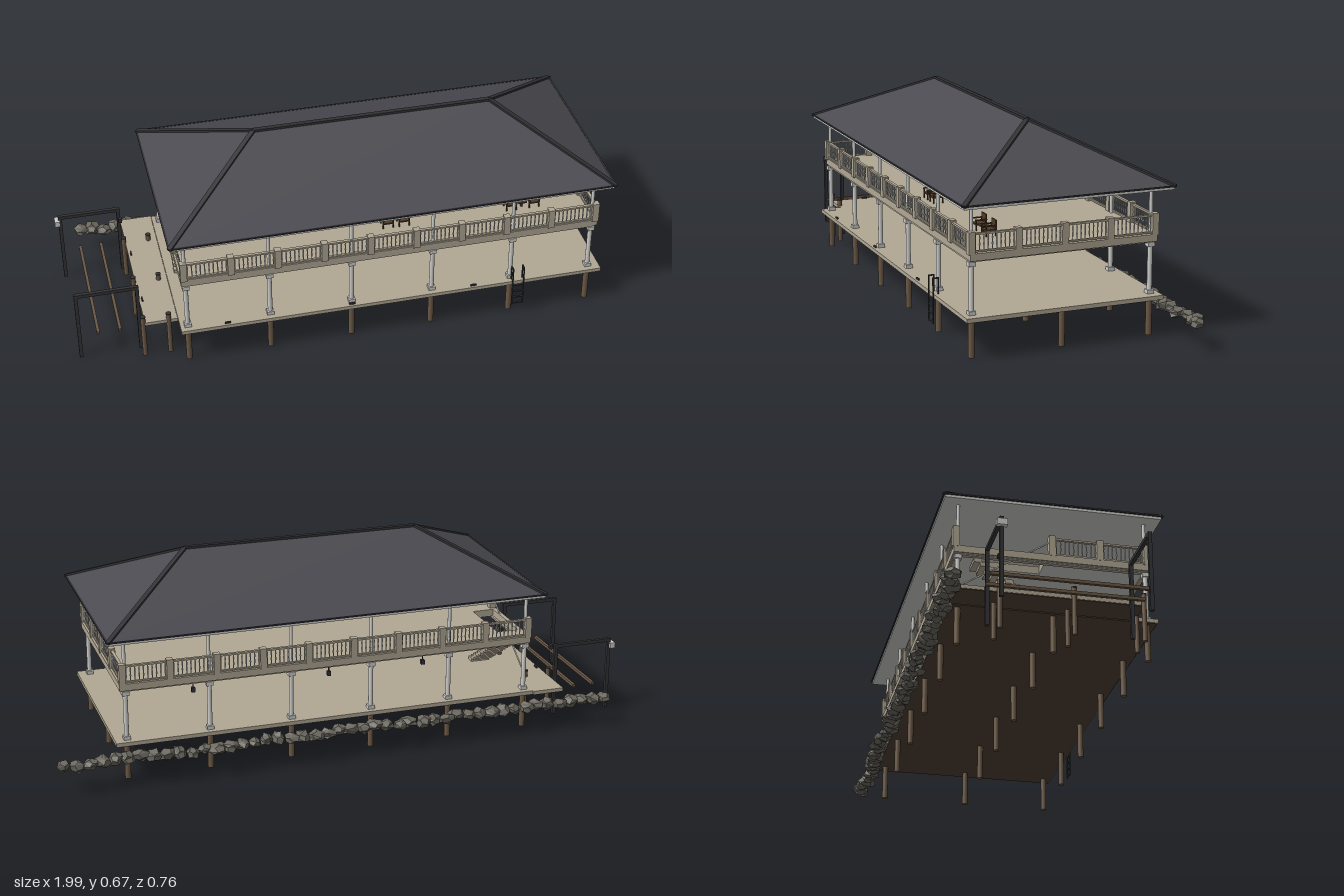
import * as THREE from 'three';
import { mergeGeometries } from 'three/addons/utils/BufferGeometryUtils.js';

const mat = (name, color, extra = {}) => {
  const m = new THREE.MeshStandardMaterial({ color, ...extra });
  m.name = name;
  return m;
};

// Box given by its limits on each axis
function box(x0, x1, y0, y1, z0, z1) {
  return new THREE.BoxGeometry(x1 - x0, y1 - y0, z1 - z0)
    .translate((x0 + x1) / 2, (y0 + y1) / 2, (z0 + z1) / 2);
}
const block = (x, y, z, w, h, d) => new THREE.BoxGeometry(w, h, d).translate(x, y, z);
const post = (x, z, y0, y1, r, sides = 12) =>
  new THREE.CylinderGeometry(r, r, y1 - y0, sides).translate(x, (y0 + y1) / 2, z);

// Straight bar between two points
function bar(a, b, w, h) {
  const A = new THREE.Vector3(...a), B = new THREE.Vector3(...b);
  const m = new THREE.Matrix4().lookAt(A, B, new THREE.Vector3(0, 1, 0));
  m.setPosition(A.clone().add(B).multiplyScalar(0.5));
  return new THREE.BoxGeometry(w, h, A.distanceTo(B)).applyMatrix4(m);
}

// Horizontal slab with optional rectangular hole [x0, x1, z0, z1]
function slab(x0, x1, y0, y1, z0, z1, hole) {
  const rect = (P, a, b, c, d) => new P([[a, c], [b, c], [b, d], [a, d]].map(p => new THREE.Vector2(...p)));
  const s = rect(THREE.Shape, x0, x1, -z1, -z0);
  if (hole) s.holes.push(rect(THREE.Path, hole[0], hole[1], -hole[3], -hole[2]));
  return new THREE.ExtrudeGeometry(s, { depth: y1 - y0, bevelEnabled: false })
    .rotateX(-Math.PI / 2).translate(0, y0, 0);
}

export function createModel() {
  const model = new THREE.Group();
  model.name = 'boathouse';
  const roofMat = mat('charcoal roofing', 0x4b4a50, { flatShading: true });
  const capMat = mat('dark roof cap', 0x323135);
  const white = mat('white paint', 0xcfcfcc);
  const beige = mat('beige decking', 0xb1a794);
  const brown = mat('piling wood', 0x6b5845);
  const under = mat('dark underside', 0x4e4034);
  const dark = mat('dark metal', 0x343437);
  const chairMat = mat('chair wood', 0x503a28);
  const rockMat = mat('rock', 0x6b685f, { flatShading: true });

  const add = (name, material, geos) => {
    const mesh = new THREE.Mesh(mergeGeometries(geos), material);
    mesh.name = name;
    model.add(mesh);
  };

  const colX = Array.from({ length: 6 }, (_, i) => -0.63 + i * 0.276);
  const colZ = [0.325, -0.275];
  const midZ = 0.025;

  // Pilings and lower deck
  add('pilings', brown, colX.flatMap(x => [...colZ, midZ].map(z => post(x, z, 0, 0.123, 0.01))));
  add('lowerDeck', beige, [box(-0.655, 0.79, 0.123, 0.136, -0.305, 0.355)]);
  add('lowerDeckUnderside', under, [box(-0.652, 0.787, 0.121, 0.1235, -0.302, 0.352)]);

  // Columns with square bases and capitals
  const cols = [];
  for (const x of colX) for (const z of colZ) {
    cols.push(post(x, z, 0.136, 0.302, 0.008), post(x, z, 0.33, 0.48, 0.006));
    cols.push(block(x, 0.142, z, 0.023, 0.012, 0.023), block(x, 0.295, z, 0.023, 0.014, 0.023));
  }
  add('columns', white, cols);

  // Upper deck with an opening over the stair
  const hole = [-0.63, -0.555, -0.215, 0.0];
  add('upperDeck', beige, [slab(-0.645, 0.77, 0.307, 0.33, -0.29, 0.335, hole)]);
  add('upperDeckCeiling', white, [slab(-0.64, 0.762, 0.305, 0.3075, -0.285, 0.33, hole)]);
  add('deckBeams', beige, [
    ...colZ.map(z => box(-0.637, 0.757, 0.301, 0.307, z - 0.007, z + 0.007)),
    ...[-0.63, 0.75].map(x => box(x - 0.007, x + 0.007, 0.301, 0.307, -0.275, 0.325)),
  ]);

  // Railings: bays between square posts, with turned spindles
  const spindle = new THREE.LatheGeometry([[0.0016, 0.337], [0.0016, 0.347], [0.0028, 0.355], [0.0017, 0.365],
    [0.0026, 0.374], [0.0016, 0.387]].map(p => new THREE.Vector2(...p)), 6);
  const rails = [], railPosts = new Map(), spindles = [];
  function railing(ax, az, bx, bz, bays) {
    for (let i = 0; i <= bays; i++) {
      const t = i / bays, x = ax + (bx - ax) * t, z = az + (bz - az) * t;
      railPosts.set(x.toFixed(3) + z.toFixed(3), block(x, 0.362, z, 0.022, 0.07, 0.022));
    }
    rails.push(bar([ax, 0.389, az], [bx, 0.389, bz], 0.01, 0.006), bar([ax, 0.335, az], [bx, 0.335, bz], 0.008, 0.005));
    const n = bays * 11;
    for (let i = 0; i < n; i++) if (i % 11) {
      const t = i / n;
      spindles.push(spindle.clone().translate(ax + (bx - ax) * t, 0, az + (bz - az) * t));
    }
  }
  railing(-0.635, 0.33, 0.76, 0.33, 9);
  railing(-0.635, -0.283, 0.76, -0.283, 9);
  railing(0.76, 0.33, 0.76, -0.283, 4);
  railing(-0.635, 0.33, -0.635, 0.0235, 2);
  add('railings', beige, rails);
  add('railingPosts', beige, [...railPosts.values()]);
  add('railingSpindles', white, spindles);

  // Stair at the right end, with its sloping rail
  const steps = [];
  for (let i = 0; i < 13; i++) {
    const z = 0.028 - i * 0.0198, y = 0.143 + i * 0.0126;
    steps.push(box(-0.628, -0.56, y - 0.007, y + 0.006, z - 0.014, z + 0.012));
  }
  add('stair', beige, steps);
  add('stairRail', white, [bar([-0.632, 0.38, 0.02], [-0.632, 0.2, -0.265], 0.004, 0.004)]);

  // Hip roof
  const E = { x0: -0.68, x1: 0.81, z0: -0.328, z1: 0.373, y: 0.488 };
  const A = [E.x0, E.y, E.z1], B = [E.x1, E.y, E.z1], C = [E.x1, E.y, E.z0], D = [E.x0, E.y, E.z0];
  const P = [-0.335, 0.661, 0.0225], Q = [0.47, 0.661, 0.0225];
  const roof = new THREE.BufferGeometry();
  roof.setAttribute('position', new THREE.Float32BufferAttribute(
    [A, B, Q, A, Q, P, C, D, P, C, P, Q, B, C, Q, D, A, P].flat(), 3));
  roof.computeVertexNormals();
  add('roof', roofMat, [roof]);
  add('roofCaps', capMat, [[A, P], [D, P], [B, Q], [C, Q], [P, Q]].map(([a, b]) => bar(a, b, 0.016, 0.008)));
  add('roofEdge', capMat, [[A, B], [B, C], [C, D], [D, A]].map(([a, b]) => bar(a, b, 0.006, 0.005)));
  add('fasciaAndSoffit', white, [box(E.x0 + 0.002, E.x1 - 0.002, 0.477, 0.486, E.z0 + 0.002, E.z1 - 0.002)]);

  // Side dock with its pilings and cleats
  add('sideDock', beige, [box(-0.765, -0.656, 0.123, 0.135, -0.31, 0.28)]);
  add('sideDockUnderside', under, [box(-0.763, -0.658, 0.121, 0.1235, -0.308, 0.278)]);
  const dockPosts = [-0.77, -0.685].flatMap(x => [0.275, 0.057, -0.173].map(z => [x, z]));
  add('dockPilings', brown, dockPosts.map(([x, z]) => post(x, z, 0, 0.155, 0.008)));
  add('pilingCaps', dark, dockPosts.map(([x, z]) => post(x, z, 0.155, 0.159, 0.009)));
  const cleats = [0.155, -0.105].map(z => block(-0.755, 0.138, z, 0.005, 0.006, 0.02));
  for (const x of [-0.5, -0.08, 0.34]) cleats.push(block(x, 0.139, 0.345, 0.02, 0.006, 0.005));
  add('cleats', dark, cleats);

  // Boat lift: two frames, two bunks and motor boxes
  const lift = [];
  for (const z of [0.235, -0.213]) {
    for (const x of [-0.978, -0.778]) lift.push(block(x, 0.127, z, 0.012, 0.254, 0.012));
    lift.push(box(-0.984, -0.772, 0.246, 0.258, z - 0.006, z + 0.006));
  }
  add('boatLiftFrames', dark, lift);
  add('boatLiftBunks', brown, [-0.917, -0.845].map(x => box(x - 0.005, x + 0.005, 0.097, 0.107, -0.232, 0.255)));
  add('liftMotorBox', white, [block(-0.988, 0.234, -0.213, 0.018, 0.02, 0.032)]);
  add('liftControlBox', dark, [block(-0.777, 0.235, -0.173, 0.012, 0.015, 0.016)]);

  // Swim ladder on the front edge
  const ladder = [];
  for (const x of [0.475, 0.513]) {
    ladder.push(block(x, 0.115, 0.358, 0.004, 0.15, 0.004), block(x, 0.188, 0.349, 0.004, 0.004, 0.02),
      block(x, 0.163, 0.341, 0.004, 0.054, 0.004));
  }
  for (let i = 0; i < 4; i++) ladder.push(block(0.494, 0.046 + i * 0.025, 0.358, 0.038, 0.004, 0.006));
  add('swimLadder', dark, ladder);

  // Hanging lights under the back of the upper deck
  add('hangingLights', dark, [-0.265, 0.065, 0.525].flatMap(x =>
    [block(x, 0.274, -0.264, 0.012, 0.016, 0.012), block(x, 0.294, -0.264, 0.003, 0.026, 0.003)]));

  // Chairs on the upper deck
  const chairs = [];
  for (const x of [0.075, 0.13, 0.505, 0.585]) {
    const z = 0.2, w = 0.017;
    chairs.push(block(x, 0.349, z, 0.034, 0.005, 0.036), block(x, 0.364, z - 0.018, 0.034, 0.032, 0.004));
    for (const s of [-1, 1]) {
      chairs.push(block(x + s * w, 0.363, z, 0.005, 0.004, 0.04));
      for (const dz of [-0.016, 0.016]) chairs.push(block(x + s * w, 0.346, z + dz, 0.004, 0.033, 0.004));
    }
  }
  chairs.push(block(0.545, 0.352, 0.2, 0.03, 0.004, 0.03), block(0.545, 0.34, 0.2, 0.006, 0.022, 0.006));
  add('deckChairs', chairMat, chairs);

  // Row of shoreline rocks
  let seed = 7;
  const rnd = () => (seed = (seed * 16807) % 2147483647) / 2147483647;
  const rocks = [];
  for (let i = 0; i < 46; i++) {
    const g = new THREE.DodecahedronGeometry(1, 0), p = g.attributes.position;
    const k = rnd() * 6;
    for (let j = 0; j < p.count; j++) {
      const x = p.getX(j), y = p.getY(j), z = p.getZ(j);
      const f = 1 + 0.16 * Math.sin(4 * x + 3 * y + 5 * z + k);
      p.setXYZ(j, x * f, y * f, z * f);
    }
    g.rotateY(rnd() * 6).scale(0.02 + rnd() * 0.012, 0.016 + rnd() * 0.008, 0.023 + rnd() * 0.01);
    rocks.push(g.translate(-0.905 + i * 1.872 / 45, 0.091 + rnd() * 0.006, -0.337 + (rnd() - 0.5) * 0.022));
  }
  add('rocks', rockMat, rocks);

  return model;
}
